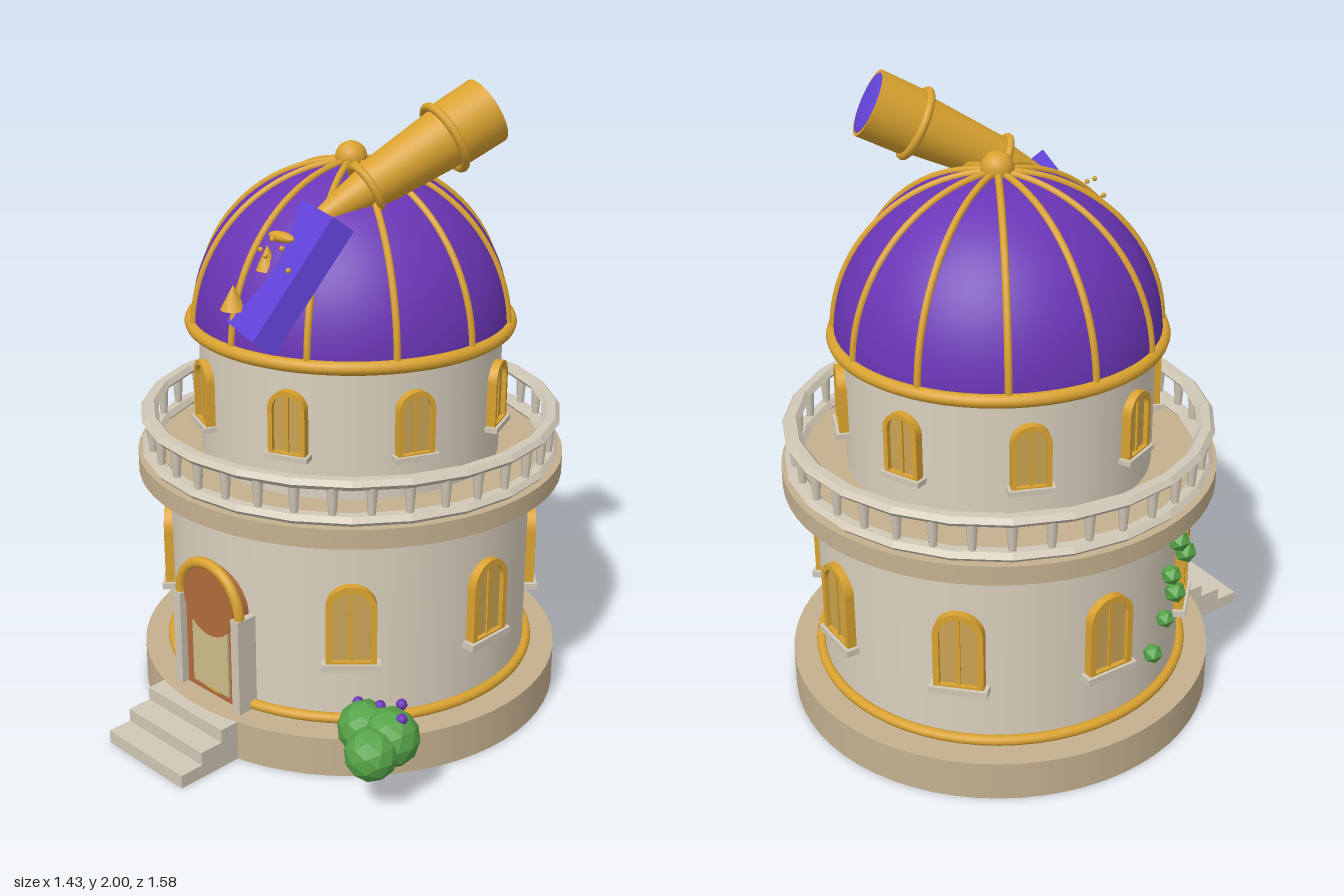
import * as THREE from 'three';

const mat = (name, color) => {
  const m = new THREE.MeshStandardMaterial({ color });
  m.name = name;
  return m;
};

export function createModel() {
  const wall = mat('cream wall', 0xd9cfbd), stone = mat('tan stone', 0xc4b08f);
  const trim = mat('pale stone', 0xd0c7b6), gold = mat('gold', 0xd9a230);
  const purple = mat('dome purple', 0x6a35b5), violet = mat('violet', 0x6344dc);
  const green = mat('leaf green', 0x56a348), brown = mat('door brown', 0xb06c3c);
  const pane = mat('amber glass', 0xc9a353), panel = mat('door panel', 0xcfbb8a);

  const root = new THREE.Group();
  root.name = 'observatory';
  // everything round shares the tower axis
  const tower = new THREE.Group();
  tower.name = 'tower';
  tower.position.set(-0.025, 0, -0.102);
  root.add(tower);

  const add = (parent, name, geo, m, x = 0, y = 0, z = 0) => {
    const mesh = new THREE.Mesh(geo, m);
    mesh.name = name;
    mesh.position.set(x, y, z);
    parent.add(mesh);
    return mesh;
  };
  const drum = (name, r, y0, y1, m) =>
    add(tower, name, new THREE.CylinderGeometry(r, r, y1 - y0, 64), m, 0, (y0 + y1) / 2, 0);
  const ring = (parent, name, R, r, y, m) => {
    const t = add(parent, name, new THREE.TorusGeometry(R, r, 10, 64), m, 0, y, 0);
    t.rotation.x = Math.PI / 2;
    return t;
  };
  const flat = (geo) => {
    const g = geo.index ? geo.toNonIndexed() : geo;
    g.computeVertexNormals();
    return g;
  };

  // drums and gold bands
  drum('base', 0.69, 0, 0.13, stone);
  drum('lowerWall', 0.586, 0.13, 0.76, wall);
  drum('balconySlab', 0.686, 0.76, 0.822, stone);
  drum('upperWall', 0.48, 0.82, 1.25, wall);
  ring(tower, 'baseBand', 0.597, 0.017, 0.145, gold);
  ring(tower, 'cornice', 0.597, 0.017, 0.745, gold);
  ring(tower, 'domeBand', 0.503, 0.021, 1.245, gold);

  // balustrade: faceted rails and tapered balusters
  for (const [name, y] of [['bottomRail', 0.835], ['topRail', 0.948]]) {
    const geo = new THREE.TorusGeometry(0.648, 0.028, 6, 24);
    geo.rotateX(Math.PI / 2).scale(1, 0.65, 1);
    add(tower, name, flat(geo), trim, 0, y, 0);
  }
  const balusterGeo = new THREE.CylinderGeometry(0.018, 0.011, 0.1, 8);
  for (let i = 0; i < 36; i++) {
    const a = (i / 36) * Math.PI * 2;
    add(tower, 'baluster', balusterGeo, trim, 0.645 * Math.sin(a), 0.892, 0.645 * Math.cos(a));
  }

  // dome, ribs and finial
  add(tower, 'dome', new THREE.SphereGeometry(0.5, 64, 24, 0, Math.PI * 2, 0, Math.PI / 2), purple, 0, 1.24, 0);
  const ribGeo = new THREE.TorusGeometry(0.502, 0.011, 8, 24, Math.PI / 2);
  for (let i = 0; i < 12; i++) add(tower, 'domeRib', ribGeo, gold, 0, 1.24, 0).rotation.y = (i * Math.PI) / 6;
  add(tower, 'finial', new THREE.SphereGeometry(0.05, 20, 14), gold, 0, 1.752, 0);

  // arch outline standing on y = 0, half width w, straight part h
  const archPath = (shape, w, h, y0 = 0) => {
    shape.moveTo(-w, y0);
    shape.lineTo(w, y0);
    shape.lineTo(w, h);
    shape.absarc(0, h, w, 0, Math.PI, false);
    shape.lineTo(-w, y0);
    return shape;
  };
  const extrude = (shape, depth) =>
    new THREE.ExtrudeGeometry(shape, { depth, bevelEnabled: false, curveSegments: 16 });
  const frameShape = archPath(new THREE.Shape(), 0.077, 0.19);
  frameShape.holes.push(archPath(new THREE.Path(), 0.058, 0.19, 0.015));
  const frameGeo = extrude(frameShape, 0.04);
  const paneGeo = extrude(archPath(new THREE.Shape(), 0.062, 0.19), 0.025);

  const addWindow = (angle, radius, y, s) => {
    const pivot = new THREE.Group();
    pivot.name = 'window';
    pivot.rotation.y = angle;
    tower.add(pivot);
    const w = new THREE.Group();
    w.name = 'windowBody';
    w.position.set(0, y, radius - 0.015);
    w.scale.set(s, s, 1);
    pivot.add(w);
    add(w, 'windowFrame', frameGeo, gold);
    add(w, 'windowPane', paneGeo, pane);
    add(w, 'mullion', new THREE.BoxGeometry(0.01, 0.24, 0.012), gold, 0, 0.125, 0.026);
    add(w, 'sill', new THREE.BoxGeometry(0.18, 0.022, 0.06), trim, 0, -0.002, 0.02);
  };
  for (let i = 1; i < 8; i++) addWindow((i * Math.PI) / 4, 0.586, 0.332, 1);
  for (let i = 0; i < 8; i++) addWindow(((i + 0.5) * Math.PI) / 4, 0.48, 0.955, 0.77);

  // doorway
  const door = new THREE.Group();
  door.name = 'doorway';
  door.position.set(-0.025, 0.13, 0.45);
  root.add(door);
  add(door, 'doorLeaf', extrude(archPath(new THREE.Shape(), 0.13, 0.32), 0.06), brown);
  add(door, 'doorPanel', new THREE.BoxGeometry(0.165, 0.235, 0.009), panel, 0, 0.142, 0.063);
  const lunette = add(door, 'lunette', new THREE.CylinderGeometry(0.115, 0.115, 0.008, 32), brown, 0, 0.33, 0.067);
  lunette.rotation.x = Math.PI / 2;
  for (const s of [-1, 1]) add(door, 'jamb', new THREE.BoxGeometry(0.034, 0.32, 0.075), trim, s * 0.136, 0.16, 0.047);
  add(door, 'doorArch', new THREE.TorusGeometry(0.137, 0.017, 10, 32, Math.PI), gold, 0, 0.32, 0.065);

  // steps
  for (let i = 0; i < 3; i++) {
    const top = 0.0433 * (i + 1), front = 0.79 - 0.08 * i;
    add(root, 'step', new THREE.BoxGeometry(0.35, 0.0433, front - 0.42), trim, -0.025, top - 0.0217, (front + 0.42) / 2);
  }

  // telescope, its lens at the local origin and its tube running down -y
  const scope = new THREE.Group();
  scope.name = 'telescope';
  scope.position.set(0.305, 1.905, -0.34);
  scope.quaternion.setFromUnitVectors(new THREE.Vector3(0, 1, 0), new THREE.Vector3(0.33, 0.459, -0.826).normalize());
  root.add(scope);
  const tube = (name, rTop, rBottom, y0, y1) =>
    add(scope, name, new THREE.CylinderGeometry(rTop, rBottom, y0 - y1, 32), gold, 0, (y0 + y1) / 2, 0);
  tube('dewShield', 0.105, 0.102, 0, -0.16);
  tube('mainTube', 0.092, 0.07, -0.16, -0.44);
  tube('eyepiece', 0.062, 0.03, -0.44, -0.6);
  ring(scope, 'frontCollar', 0.104, 0.013, -0.155, gold);
  ring(scope, 'rearCollar', 0.075, 0.012, -0.44, gold);
  add(scope, 'lens', new THREE.SphereGeometry(0.095, 32, 10, 0, Math.PI * 2, 0, Math.PI / 2), violet).scale.y = 0.1;

  // slanted shutter under the telescope
  const shutter = add(root, 'shutter', new THREE.BoxGeometry(0.225, 0.42, 0.08), violet, 0.11, 1.48, 0.292);
  shutter.rotation.set(-0.63, -0.38, 0, 'YXZ');

  // gold ornaments and star dots around the shutter
  const moon = add(root, 'ornamentDisc', new THREE.SphereGeometry(0.052, 20, 12), gold, 0.05, 1.582, 0.262);
  moon.scale.set(1, 0.3, 0.4);
  add(root, 'ornamentCone', new THREE.ConeGeometry(0.036, 0.075, 12), gold, 0.03, 1.525, 0.3);
  add(root, 'ornamentCone', new THREE.ConeGeometry(0.04, 0.075, 12), gold, -0.028, 1.41, 0.385);
  for (const [x, y] of [[0.05, 1.56], [0.1, 1.6], [0.14, 1.58], [0.165, 1.52], [0.07, 1.545]])
    add(root, 'starDot', new THREE.SphereGeometry(0.008, 8, 6), gold, x, y, 0.345);

  // bush with blossoms
  const leafBall = (name, r, detail, x, y, z) =>
    add(root, name, flat(new THREE.IcosahedronGeometry(r, detail)), green, x, y, z);
  leafBall('bush', 0.085, 1, 0.54, 0.215, 0.405);
  leafBall('bush', 0.09, 1, 0.625, 0.215, 0.39);
  leafBall('bush', 0.08, 1, 0.63, 0.2, 0.475);
  for (const [x, y, z] of [[0.605, 0.285, 0.32], [0.565, 0.285, 0.37], [0.5, 0.28, 0.395], [0.665, 0.29, 0.385]])
    add(root, 'blossom', new THREE.SphereGeometry(0.017, 10, 8), purple, x, y, z);

  // ivy clumps on the right wall
  for (const [x, y, z, r] of [[-0.565, 0.655, 0.2, 0.036], [-0.59, 0.56, 0.155, 0.033], [-0.54, 0.585, 0.25, 0.036],
    [-0.57, 0.475, 0.19, 0.036], [-0.6, 0.415, 0.13, 0.03], [-0.62, 0.32, 0.07, 0.032]])
    leafBall('ivy', r, 0, x, y, z);

  return root;
}
